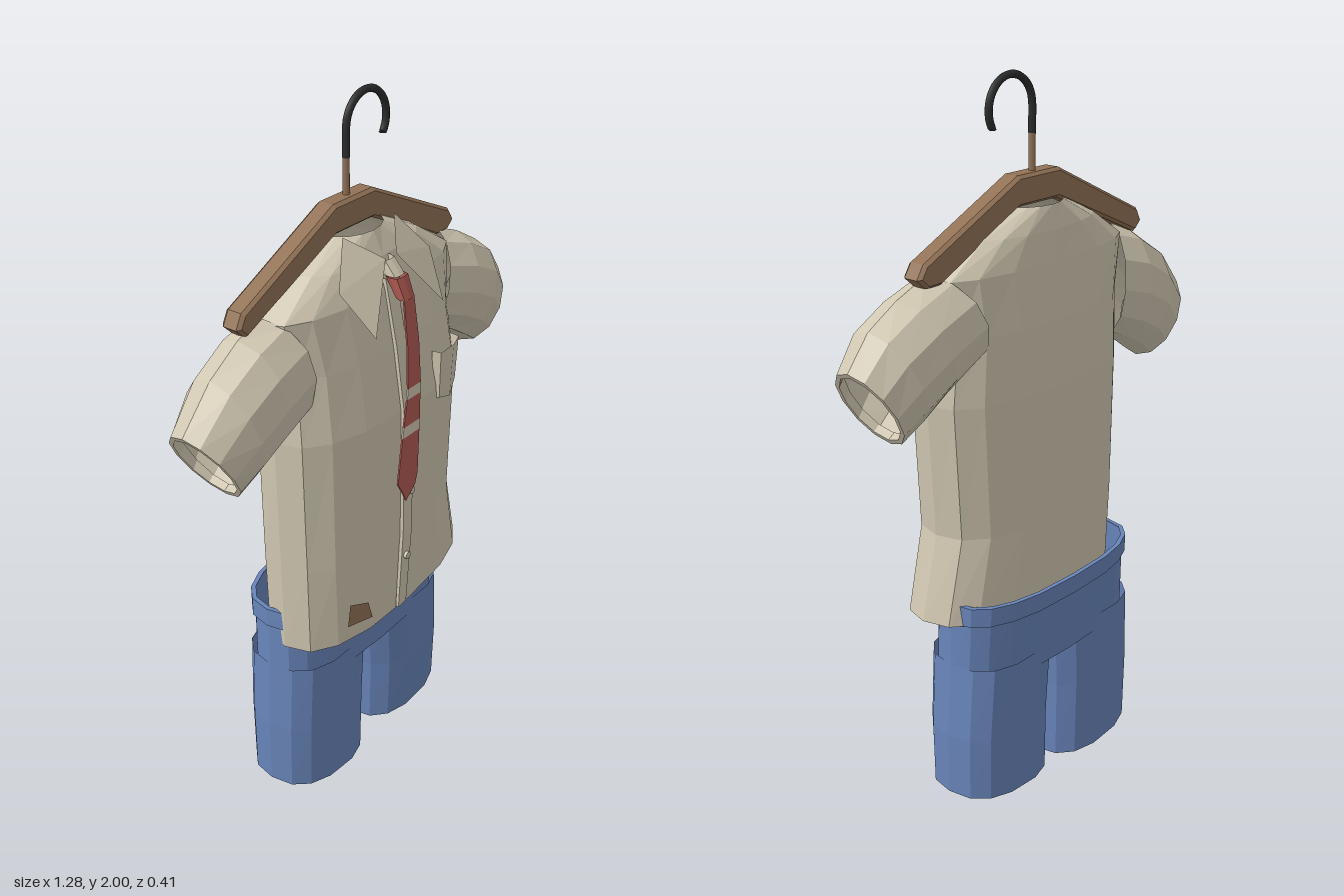
import * as THREE from 'three';

const mat = (name, color, side = THREE.DoubleSide) => {
  const m = new THREE.MeshStandardMaterial({ color, side });
  m.name = name;
  return m;
};

// Faceted skin over rows of [x, y, z] points; rows close into rings unless open.
function loft(rows, closed = true) {
  const n = rows[0].length, idx = [];
  const g = new THREE.BufferGeometry();
  g.setAttribute('position', new THREE.Float32BufferAttribute(rows.flat(2), 3));
  for (let r = 0; r < rows.length - 1; r++) {
    for (let i = 0; i < (closed ? n : n - 1); i++) {
      const j = (i + 1) % n, a = r * n, b = a + n;
      idx.push(a + i, b + i, a + j, a + j, b + i, b + j);
    }
  }
  g.setIndex(idx);
  const flat = g.toNonIndexed();
  flat.computeVertexNormals();
  return flat;
}

const pw = (v, e) => Math.sign(v) * Math.abs(v) ** e;

// Rounded-box ring between x0..x1 and z0..z1; height runs from y0 (at x0) to y1 (at x1).
function ring(y0, y1, x0, x1, z0, z1, n = 16, e = 0.8) {
  return Array.from({ length: n }, (_, i) => {
    const t = (i / n) * Math.PI * 2;
    const u = (pw(Math.cos(t), e) + 1) / 2, v = (pw(Math.sin(t), e) + 1) / 2;
    return [x0 + (x1 - x0) * u, y0 + (y1 - y0) * u, z0 + (z1 - z0) * v];
  });
}

export function createModel() {
  const root = new THREE.Group();
  root.name = 'clothesOnHanger';
  const shirt = mat('shirtCream', 0xd0c7b1);
  const denim = mat('trouserBlue', 0x6884b9);
  const red = mat('tieRed', 0xb05a53);
  const wood = mat('hangerBrown', 0x927256);
  const metal = mat('hookBlack', 0x2c2c2c);
  const lining = mat('liningCream', 0xd8ceb6);
  const add = (name, geo, m, parent = root) => {
    const mesh = new THREE.Mesh(geo, m);
    mesh.name = name;
    parent.add(mesh);
    return mesh;
  };

  // Shirt body, hem to neck opening
  add('shirtBody', loft([
    ring(0.555, 0.61, -0.325, 0.38, -0.145, 0.15),
    ring(0.54, 0.595, -0.335, 0.392, -0.155, 0.16),
    ring(0.81, 0.83, -0.34, 0.335, -0.157, 0.162),
    ring(1.2, 1.2, -0.347, 0.357, -0.157, 0.158),
    ring(1.38, 1.38, -0.335, 0.34, -0.152, 0.13),
    ring(1.53, 1.53, -0.36, 0.36, -0.135, 0.1),
    ring(1.61, 1.61, -0.23, 0.23, -0.125, 0.075),
    ring(1.67, 1.67, -0.1, 0.1, -0.11, 0.045, 16, 1),
  ]), shirt);

  // Sleeves: each ring spans a top point and a bottom point, with its depth radius
  const sleeve = (name, s, cuts) => {
    const hoop = ([tx, ty, bx, by, rz, bulge = 0], k = 1) =>
      Array.from({ length: 12 }, (_, i) => {
        const t = (i / 12) * Math.PI * 2, c = Math.cos(t) * 0.5 * k;
        const x = (tx + bx) / 2 + (tx - bx) * c - bulge * Math.abs(Math.sin(t));
        return [s * x, (ty + by) / 2 + (ty - by) * c, -0.02 + rz * k * Math.sin(t)];
      });
    const g = new THREE.Group();
    g.name = name;
    root.add(g);
    const last = cuts[cuts.length - 1], prev = cuts[cuts.length - 2];
    const deep = last.map((v, i) => v * 0.7 + (prev[i] ?? 0) * 0.3);
    add('sleeveTube', loft(cuts.map((c) => hoop(c))), shirt, g);
    add('sleeveHem', loft([hoop(last), hoop(last, 0.88), hoop(deep, 0.88)]), shirt, g);
  };
  sleeve('leftSleeve', 1, [
    [0.37, 1.545, 0.29, 1.29, 0.115, 0.06],
    [0.47, 1.505, 0.37, 1.24, 0.122, 0.02],
    [0.565, 1.45, 0.44, 1.19, 0.118],
    [0.635, 1.365, 0.505, 1.15, 0.095],
  ]);
  sleeve('rightSleeve', -1, [
    [0.36, 1.545, 0.335, 1.23, 0.115, 0.06],
    [0.44, 1.515, 0.4, 1.19, 0.122, 0.02],
    [0.54, 1.45, 0.45, 1.155, 0.118],
    [0.642, 1.34, 0.505, 1.12, 0.095],
  ]);

  // Collar flaps standing off the chest
  for (const s of [1, -1]) {
    add(s > 0 ? 'leftCollar' : 'rightCollar', loft([
      [[s * 0.105, 1.68, 0.03], [s * 0.022, 1.615, 0.1]],
      [[s * 0.188, 1.575, 0.085], [s * 0.143, 1.46, 0.165]],
    ], false), shirt);
  }

  // Button placket and buttons
  add('placket', loft([
    [[-0.035, 0.572, 0.16], [-0.033, 0.572, 0.168], [0.003, 0.575, 0.168], [0.005, 0.575, 0.16]],
    [[-0.022, 0.82, 0.16], [-0.02, 0.82, 0.17], [0.02, 0.82, 0.17], [0.022, 0.82, 0.16]],
    [[-0.022, 1.2, 0.156], [-0.02, 1.2, 0.165], [0.022, 1.2, 0.165], [0.024, 1.2, 0.156]],
    [[-0.022, 1.38, 0.128], [-0.02, 1.38, 0.138], [0.022, 1.38, 0.138], [0.024, 1.38, 0.128]],
    [[-0.022, 1.56, 0.09], [-0.02, 1.56, 0.1], [0.022, 1.56, 0.1], [0.024, 1.56, 0.09]],
  ], false), shirt);
  for (const [x, y] of [[0.008, 0.95], [-0.005, 0.74]]) {
    const b = add('button', new THREE.CylinderGeometry(0.011, 0.011, 0.009, 8), shirt);
    b.rotation.x = Math.PI / 2;
    b.position.set(x, y, 0.174);
  }

  // Chest pocket with a pointed base
  add('pocket', loft([
    [[0.135, 1.31, 0.14], [0.14, 1.31, 0.166], [0.215, 1.302, 0.155], [0.283, 1.292, 0.125], [0.29, 1.29, 0.09]],
    [[0.147, 1.165, 0.14], [0.15, 1.168, 0.158], [0.215, 1.143, 0.148], [0.279, 1.163, 0.12], [0.284, 1.16, 0.09]],
    [[0.147, 1.16, 0.14], [0.15, 1.163, 0.14], [0.215, 1.138, 0.12], [0.279, 1.158, 0.1], [0.284, 1.155, 0.09]],
  ], false), shirt);

  // Brown patch near the hem
  add('patch', loft([
    [[-0.222, 0.68, 0.144], [-0.16, 0.66, 0.158]],
    [[-0.23, 0.61, 0.142], [-0.145, 0.603, 0.161]],
  ], false), wood);

  // Tie: rows of height, left edge, right edge and depth, with two pale stripes
  const tie = [
    [1.52, -0.021, 0.023, 0.158], [1.4, -0.027, 0.024, 0.176], [1.28, -0.033, 0.024, 0.185],
    [1.25, -0.037, 0.022, 0.186], [1.175, -0.054, 0.018, 0.189], [1.145, -0.06, 0.016, 0.19],
    [1.02, -0.086, 0.003, 0.197], [0.99, -0.068, -0.007, 0.198], [0.955, -0.052, -0.05, 0.2],
  ].map(([y, a, b, z]) => [[a, y, z - 0.004], [a + 0.001, y, z], [b - 0.001, y, z], [b, y, z - 0.004]]);
  const tieGroup = new THREE.Group();
  tieGroup.name = 'tie';
  root.add(tieGroup);
  [[0, 2, red], [2, 3, shirt], [3, 4, red], [4, 5, shirt], [5, 8, red]].forEach(([a, b, m]) =>
    add(m === red ? 'tieBlade' : 'tieStripe', loft(tie.slice(a, b + 1)), m, tieGroup));
  add('tieKnot', loft([
    ring(1.515, 1.515, -0.023, 0.025, 0.13, 0.162, 8, 0.5),
    ring(1.57, 1.57, -0.028, 0.028, 0.098, 0.14, 8, 0.5),
  ]), red, tieGroup);
  add('collarBand', loft([
    ring(1.57, 1.57, -0.023, 0.023, 0.09, 0.132, 8, 0.5),
    ring(1.608, 1.608, -0.023, 0.023, 0.06, 0.1, 8, 0.5),
  ]), shirt);

  // Trousers: hips with a closed crotch, waistband and two legs
  const hipLow = ring(0.41, 0.41, -0.345, 0.345, -0.187, 0.092, 20, 0.75);
  add('hips', loft([
    hipLow.map(() => [0, 0.415, -0.05]),
    hipLow,
    ring(0.645, 0.645, -0.335, 0.338, -0.197, 0.09, 20, 0.75),
  ]), denim);
  add('waistband', loft([
    ring(0.59, 0.59, -0.338, 0.34, -0.196, 0.092, 20, 0.75),
    ring(0.593, 0.593, -0.345, 0.346, -0.203, 0.096, 20, 0.75),
    ring(0.648, 0.648, -0.343, 0.345, -0.206, 0.096, 20, 0.75),
    ring(0.648, 0.648, -0.33, 0.332, -0.193, 0.084, 20, 0.75),
  ]), denim);
  const leg = (name, yo, yi, x0, x1, s) => {
    const y0 = s > 0 ? yi : yo, y1 = s > 0 ? yo : yi;
    const top = s > 0 ? [0.004, 0.345] : [-0.345, -0.004];
    add(name, loft([
      ring(y0, y1, x0, x1, -0.182, 0.08, 14),
      ring(0.24, 0.24, x0, x1, -0.186, 0.086, 14),
      ring(0.46, 0.46, ...top, -0.188, 0.09, 14),
    ]), denim);
    // Turned-in pale hem
    add(name + 'Hem', loft([
      ring(y0 - 0.001, y1 - 0.001, x0 + 0.003, x1 - 0.003, -0.179, 0.077, 14),
      ring(y0, y1, x0 + 0.014, x1 - 0.014, -0.168, 0.066, 14),
      ring(y0 + 0.03, y1 + 0.03, x0 + 0.012, x1 - 0.012, -0.17, 0.068, 14),
    ]), lining);
  };
  leg('leftLeg', 0.055, 0.03, 0.02, 0.362, 1);
  leg('rightLeg', 0.03, 0.003, -0.355, -0.012, -1);

  // Wooden hanger bar
  const bar = new THREE.Shape([
    [-0.08, 1.738], [0.075, 1.738], [0.41, 1.582], [0.428, 1.555], [0.405, 1.535], [0.36, 1.535],
    [0.075, 1.675], [-0.08, 1.675], [-0.36, 1.55], [-0.415, 1.525], [-0.436, 1.545], [-0.42, 1.575],
  ].map(([x, y]) => new THREE.Vector2(x, y)));
  add('hangerBar', new THREE.ExtrudeGeometry(bar, {
    depth: 0.04, bevelEnabled: true, bevelSize: 0.008, bevelThickness: 0.01, bevelSegments: 1,
  }).translate(0, 0, -0.058), wood);

  // Hook with its stem
  const stem = add('hookStem', new THREE.CylinderGeometry(0.009, 0.009, 0.12, 8), wood);
  stem.position.set(-0.004, 1.79, -0.038);
  const path = [[-0.004, 1.84], [-0.004, 1.88]];
  for (let i = 0; i <= 10; i++) {
    const a = Math.PI * (1 - i * 0.12);
    path.push([0.077 + 0.081 * Math.cos(a), 1.91 + 0.081 * Math.sin(a)]);
  }
  path.push([0.143, 1.865]);
  const curve = new THREE.CatmullRomCurve3(path.map(([x, y]) => new THREE.Vector3(x, y, -0.038)));
  add('hook', new THREE.TubeGeometry(curve, 32, 0.01, 8), metal);

  return root;
}
